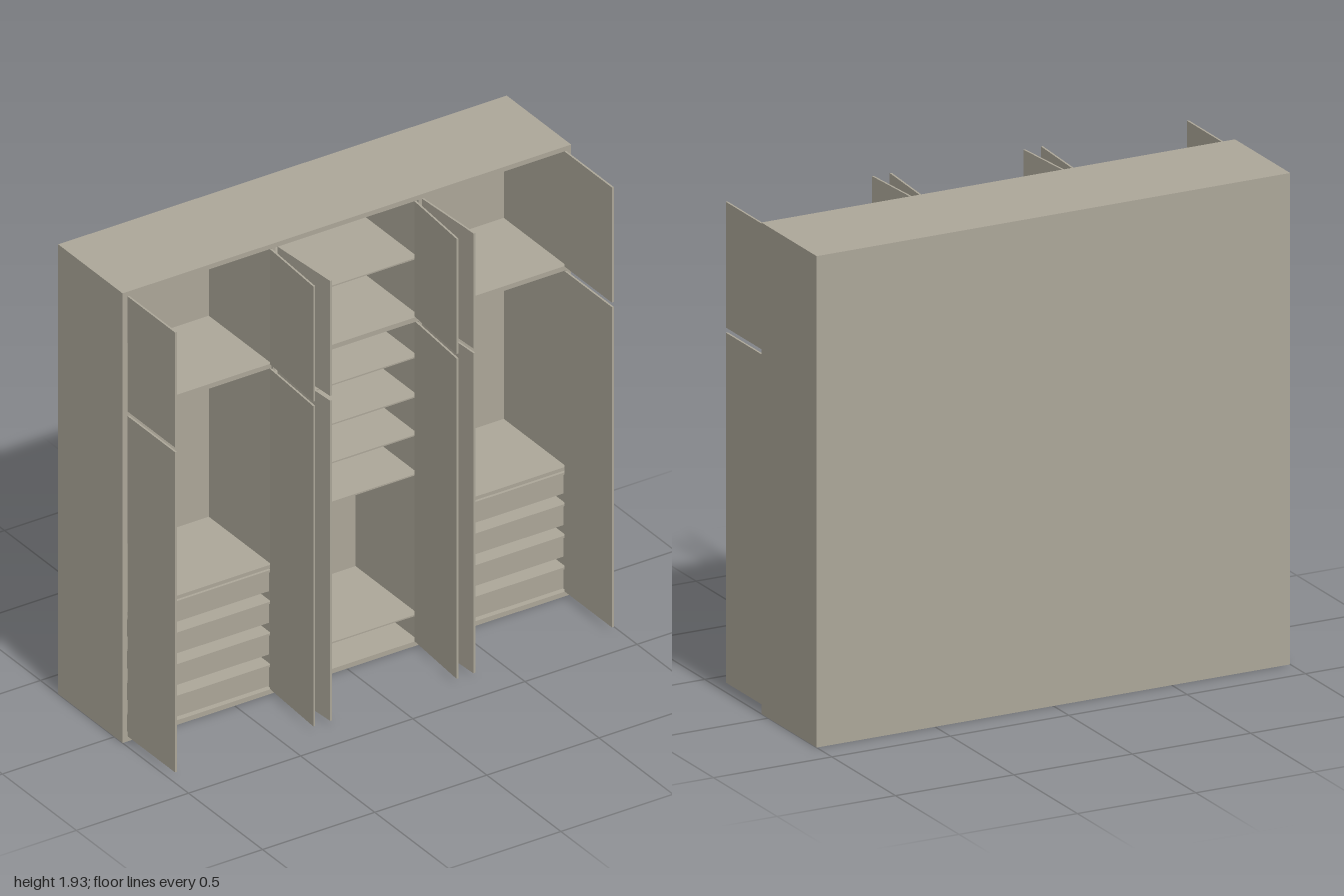
import * as THREE from 'three';

const H = 1.935, BACK = -0.38, FRONT = 0.055, T = 0.02;
const DIV = 0.327; // x of the two dividers

export function createModel() {
  const greige = new THREE.MeshStandardMaterial({ color: 0xaba698 });
  greige.name = 'greige board';
  const root = new THREE.Group();
  root.name = 'wardrobe';

  // Board given by its limits on each axis
  const board = (name, x0, x1, y0, y1, z0, z1, parent = root) => {
    const mesh = new THREE.Mesh(new THREE.BoxGeometry(x1 - x0, y1 - y0, z1 - z0), greige);
    mesh.position.set((x0 + x1) / 2, (y0 + y1) / 2, (z0 + z1) / 2);
    mesh.name = name;
    parent.add(mesh);
    return mesh;
  };

  // Carcass
  board('topPanel', -1, 1, H - T, H, BACK, FRONT);
  board('basePanel', -1, 1, 0, T, BACK, FRONT);
  board('backPanel', -1 + T, 1 - T, T, H - T, BACK, BACK + 0.01);
  for (const s of [-1, 1]) {
    board('sidePanel', s * 0.99 - 0.01, s * 0.99 + 0.01, T, H - T, BACK, FRONT);
    board('divider', s * DIV - 0.008, s * DIV + 0.008, T, H - T, BACK + 0.01, FRONT);
  }

  // Middle bay shelves
  const inner = DIV - 0.008;
  for (const y of [0.13, 0.735, 0.905, 1.07, 1.24, 1.665]) {
    board('thinShelf', -inner, inner, y - 0.003, y + 0.003, BACK + 0.01, FRONT - 0.003);
  }
  board('middleShelf', -0.335, 0.335, 1.4, 1.42, BACK + 0.01, FRONT + 0.008);

  // Outer bays: upper shelf, drawer top and four drawers
  for (const s of [-1, 1]) {
    const a = s < 0 ? -0.98 : 0.335, b = a + 0.645;
    board('upperShelf', a, b, 1.4, 1.42, BACK + 0.01, FRONT - 0.002);
    board('drawerTop', a, b, 0.54, 0.555, BACK + 0.01, FRONT - 0.002);
    for (let i = 0; i < 4; i++) {
      const y = 0.033 + i * 0.136;
      const drawer = new THREE.Group();
      drawer.name = 'drawer';
      root.add(drawer);
      const l = a + 0.01, r = b - 0.01, zb = BACK + 0.03, zf = FRONT - 0.005;
      board('drawerFront', l, r, y, y + 0.08, zf - 0.01, zf, drawer);
      board('drawerBack', l, r, y, y + 0.08, zb, zb + 0.008, drawer);
      board('drawerBottom', l, r, y, y + 0.006, zb, zf - 0.01, drawer);
      board('drawerSide', l, l + 0.008, y, y + 0.08, zb, zf - 0.01, drawer);
      board('drawerSide', r - 0.008, r, y, y + 0.08, zb, zf - 0.01, drawer);
      board('drawerDeck', a, b, y + 0.08, y + 0.089, BACK + 0.01, FRONT - 0.005);
    }
  }

  // Open doors: hinge x and x of the free edge, in two tiers
  for (const s of [-1, 1]) {
    for (const [hinge, tip] of [[0.974, 0.974], [0.339, 0.357], [0.305, 0.282]]) {
      for (const [y0, y1] of [[0.022, 1.4], [1.42, 1.915]]) {
        const door = new THREE.Group();
        door.name = y0 > 1 ? 'upperDoor' : 'lowerDoor';
        door.position.set(s * hinge, 0, FRONT);
        door.rotation.y = Math.atan2(s * (tip - hinge), 0.32);
        board('doorPanel', -0.004, 0.004, y0, y1, 0, 0.321, door);
        root.add(door);
      }
    }
  }
  return root;
}
